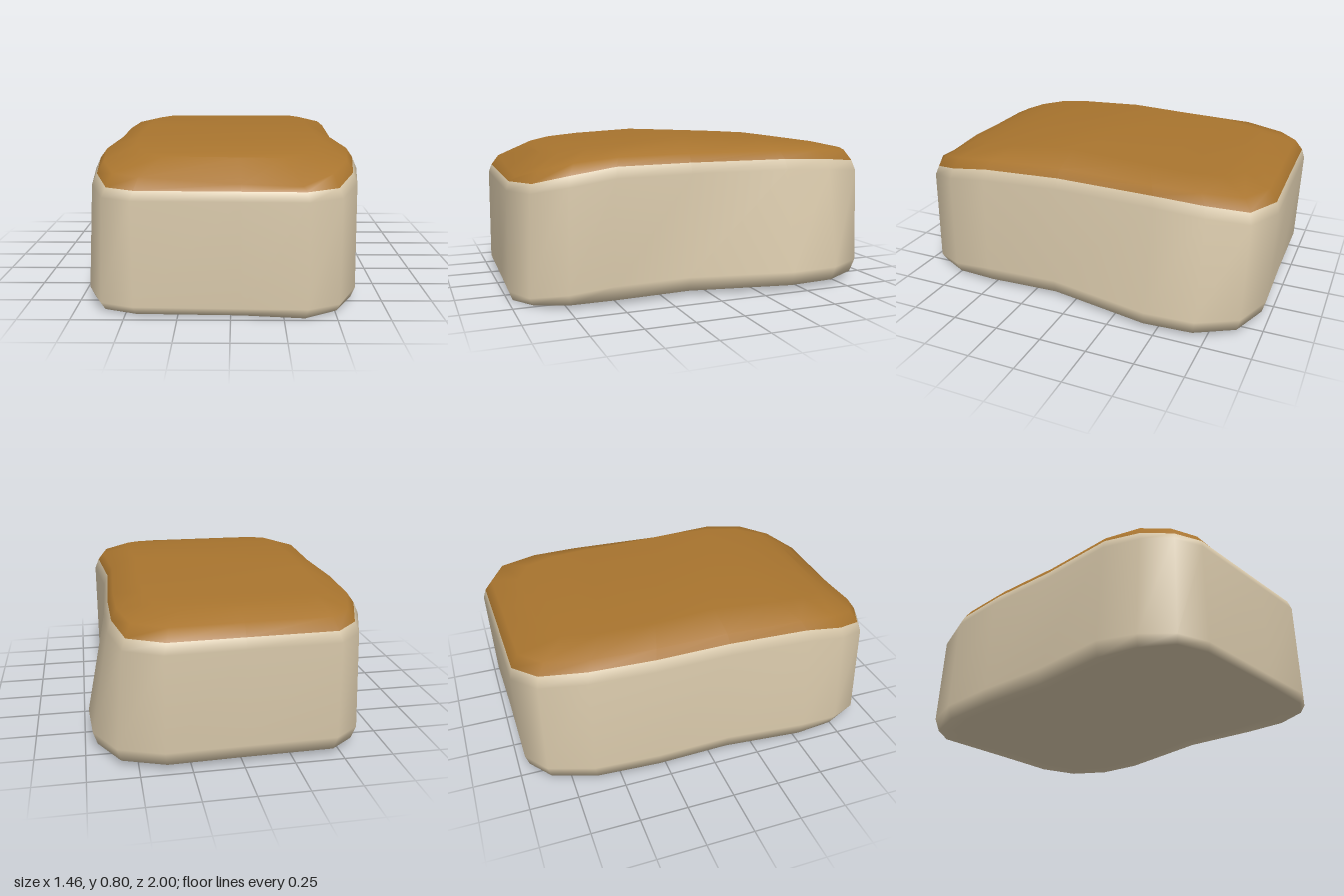
import * as THREE from 'three';

// Outlines seen from above: back middle, right side going forward, front middle, left side going back
const FOOT = [
  [0, -0.97], [0.38, -0.98], [0.6, -0.9], [0.71, -0.7], [0.725, -0.44], [0.62, 0.12], [0.64, 0.52], [0.615, 0.75], [0.52, 0.92], [0.36, 0.995],
  [0.05, 0.985], [-0.46, 0.97], [-0.62, 0.91], [-0.7, 0.75], [-0.73, 0.53], [-0.69, 0.1], [-0.7, -0.3], [-0.68, -0.64], [-0.6, -0.87], [-0.47, -0.965],
];
const SHOULDER = [
  [0, -0.99], [0.38, -1], [0.56, -0.91], [0.615, -0.7], [0.62, -0.44], [0.6, 0.1], [0.64, 0.51], [0.61, 0.74], [0.52, 0.905], [0.36, 0.99],
  [0.05, 0.98], [-0.46, 0.965], [-0.6, 0.9], [-0.67, 0.75], [-0.69, 0.53], [-0.67, 0.1], [-0.68, -0.3], [-0.66, -0.64], [-0.58, -0.87], [-0.46, -0.98],
];
const N = FOOT.length;

// Height that changes from the long sides towards the front and the back
const sideHeight = (side, front, back) => (z) =>
  THREE.MathUtils.lerp(side, z > 0 ? front : back, THREE.MathUtils.smoothstep(Math.abs(z), 0.55, 0.92));

// Domed height along the middle of the top
function domeHeight(z) {
  const p = [[-0.8, 0.745], [-0.68, 0.76], [0.08, 0.796], [0.55, 0.77], [0.8, 0.728]];
  let i = 0;
  while (i < p.length - 2 && z > p[i + 1][0]) i++;
  return THREE.MathUtils.mapLinear(z, p[i][0], p[i + 1][0], p[i][1], p[i + 1][1]);
}

const makeRing = (outline, sx, sz, height) =>
  outline.map(([x, z]) => [x * sx, height(z * sz), z * sz]);

export function createModel() {
  const cream = new THREE.MeshStandardMaterial({ color: 0xd9c9ab });
  cream.name = 'cream';
  const brown = new THREE.MeshStandardMaterial({ color: 0xa8742e });
  brown.name = 'crust brown';

  // Rings from the underside to the top
  const rings = [
    makeRing(FOOT, 0.85, 0.88, () => 0.035),
    makeRing(FOOT, 0.97, 0.98, sideHeight(0.025, 0.01, 0.03)),
    makeRing(FOOT, 1, 1, sideHeight(0.1, 0.05, 0.1)),
    makeRing(SHOULDER, 1, 1, sideHeight(0.63, 0.56, 0.6)),
    makeRing(SHOULDER, 0.965, 0.985, sideHeight(0.685, 0.605, 0.655)),
    makeRing(SHOULDER, 0.92, 0.945, sideHeight(0.728, 0.66, 0.712)),
    makeRing(SHOULDER, 0.7, 0.8, domeHeight),
  ];
  // Lowest corner of the base and the dent at the front of the crust
  rings[1][9][1] = 0;
  rings[5][9][1] = 0.622;
  rings[5][10][1] = 0.63;

  const body = [];
  const crust = [];
  const EDGE = 4; // ring where the crust begins
  for (let r = 0; r < rings.length - 1; r++) {
    const out = r < EDGE ? body : crust;
    for (let i = 0; i < N; i++) {
      const a = r * N + i;
      const b = r * N + ((i + 1) % N);
      out.push(a, a + N, b, b, a + N, b + N);
    }
  }

  // Close the top and the underside with strips across the width
  const top = (rings.length - 1) * N;
  for (let i = 0; i < N / 2; i++) {
    const r0 = i, r1 = i + 1;
    const l0 = (N - i) % N, l1 = N - i - 1;
    const tris = [];
    if (r0 !== l0) tris.push([r0, l0, r1]);
    if (r1 !== l1) tris.push([r1, l0, l1]);
    for (const [a, b, c] of tris) {
      crust.push(top + a, top + b, top + c);
      body.push(a, c, b);
    }
  }

  // Shared normals keep the shading smooth across the colour border
  const whole = new THREE.BufferGeometry();
  whole.setAttribute('position', new THREE.Float32BufferAttribute(rings.flat(2), 3));
  whole.setIndex([...body, ...crust]);
  whole.computeVertexNormals();

  const group = new THREE.Group();
  group.name = 'loaf';
  for (const [name, index, material] of [['loafBody', body, cream], ['topCrust', crust, brown]]) {
    const mesh = new THREE.Mesh(whole.clone().setIndex(index), material);
    mesh.name = name;
    group.add(mesh);
  }
  return group;
}
